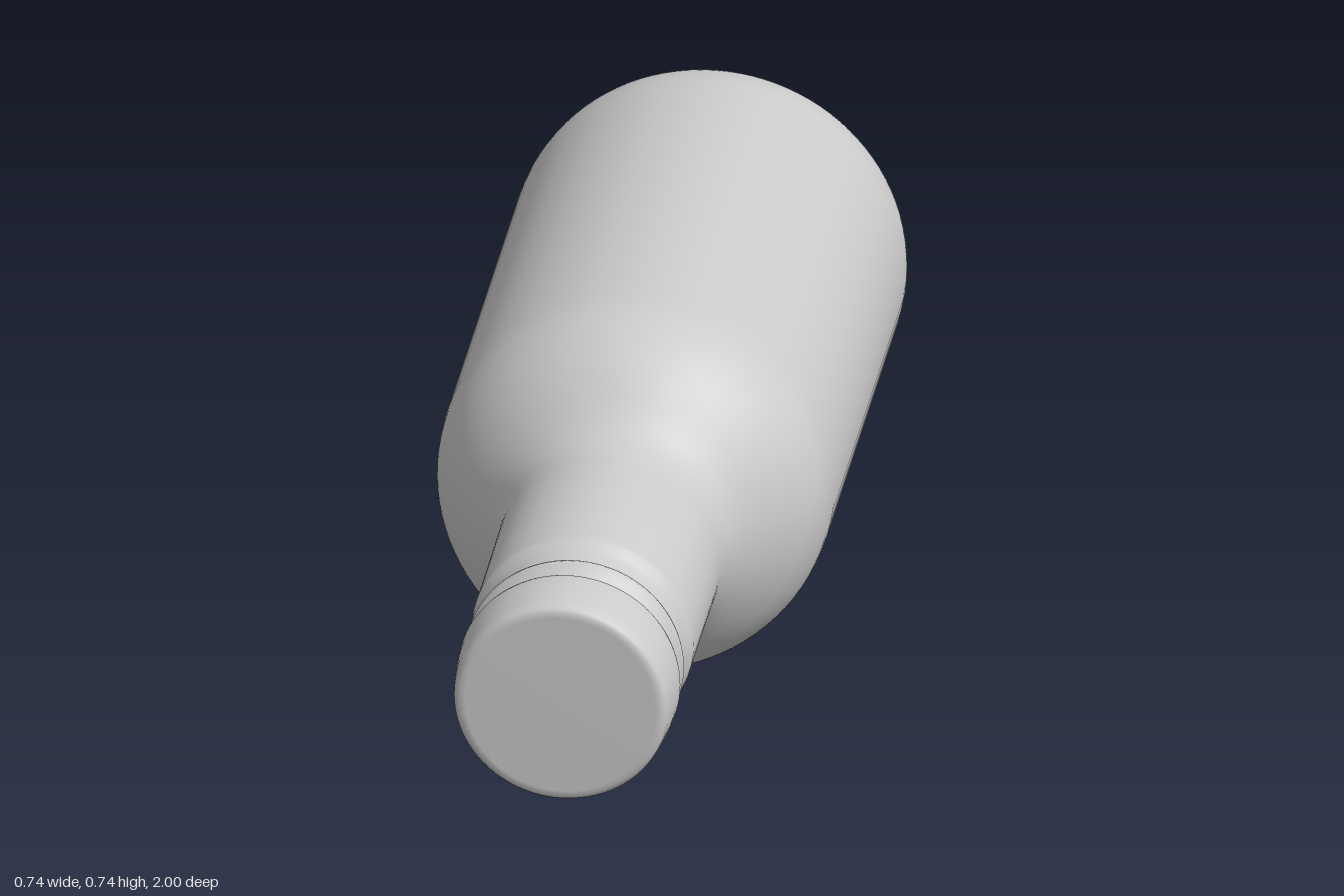
import * as THREE from 'three';

const SEGMENTS = 96;
const AXIS_HEIGHT = 0.371;

// Smooth run of [radius, z] points
function smooth(points, count) {
  const curve = new THREE.CatmullRomCurve3(points.map(([r, z]) => new THREE.Vector3(r, z, 0)), false, 'centripetal');
  return curve.getPoints(count).map((p) => new THREE.Vector2(Math.max(p.x, 0), p.y));
}

const straight = (points) => points.map(([r, z]) => new THREE.Vector2(r, z));

// Revolve a profile and lay its axis along z
function turned(name, profile, material) {
  const geometry = new THREE.LatheGeometry(profile, SEGMENTS);
  geometry.rotateX(Math.PI / 2);
  const mesh = new THREE.Mesh(geometry, material);
  mesh.name = name;
  return mesh;
}

export function createModel() {
  const material = new THREE.MeshStandardMaterial({ color: 0xcccccc, side: THREE.DoubleSide });
  const bottle = new THREE.Group();
  bottle.name = 'bottle';

  // Shallow dished base
  const base = turned('base', smooth([
    [0, -0.984], [0.12, -0.985], [0.2, -0.988], [0.24, -0.995], [0.27, -1],
  ], 16), material);

  // Rounded heel, straight wall, then the S-curved shoulder
  const body = turned('body', [
    ...smooth([[0.27, -1], [0.3, -0.994], [0.333, -0.972], [0.357, -0.935], [0.368, -0.89], [0.37, -0.85]], 20),
    ...smooth([
      [0.37, 0.04], [0.366, 0.09], [0.352, 0.14], [0.327, 0.19], [0.292, 0.235],
      [0.255, 0.275], [0.23, 0.307], [0.215, 0.34], [0.209, 0.38],
    ], 32),
  ], material);

  // Neck, ending in a small step down
  const neck = turned('neck', straight([
    [0.209, 0.38], [0.208, 0.55], [0.208, 0.715], [0.206, 0.725], [0.196, 0.737], [0.189, 0.75], [0.187, 0.785],
  ]), material);

  // Thin raised ring between two grooves
  const ring = turned('neckRing', straight([
    [0.187, 0.785], [0.192, 0.795], [0.202, 0.804], [0.204, 0.812], [0.2, 0.819], [0.188, 0.828], [0.183, 0.842], [0.186, 0.856],
  ]), material);

  // Slightly tapering cap with softened rims
  const cap = turned('cap', straight([
    [0.186, 0.856], [0.197, 0.864], [0.205, 0.873], [0.208, 0.885], [0.206, 0.93], [0.202, 0.975],
    [0.2, 0.987], [0.195, 0.995], [0.188, 0.999], [0.178, 1], [0, 1],
  ]), material);

  bottle.add(base, body, neck, ring, cap);
  bottle.position.y = AXIS_HEIGHT;

  const model = new THREE.Group();
  model.add(bottle);
  return model;
}
